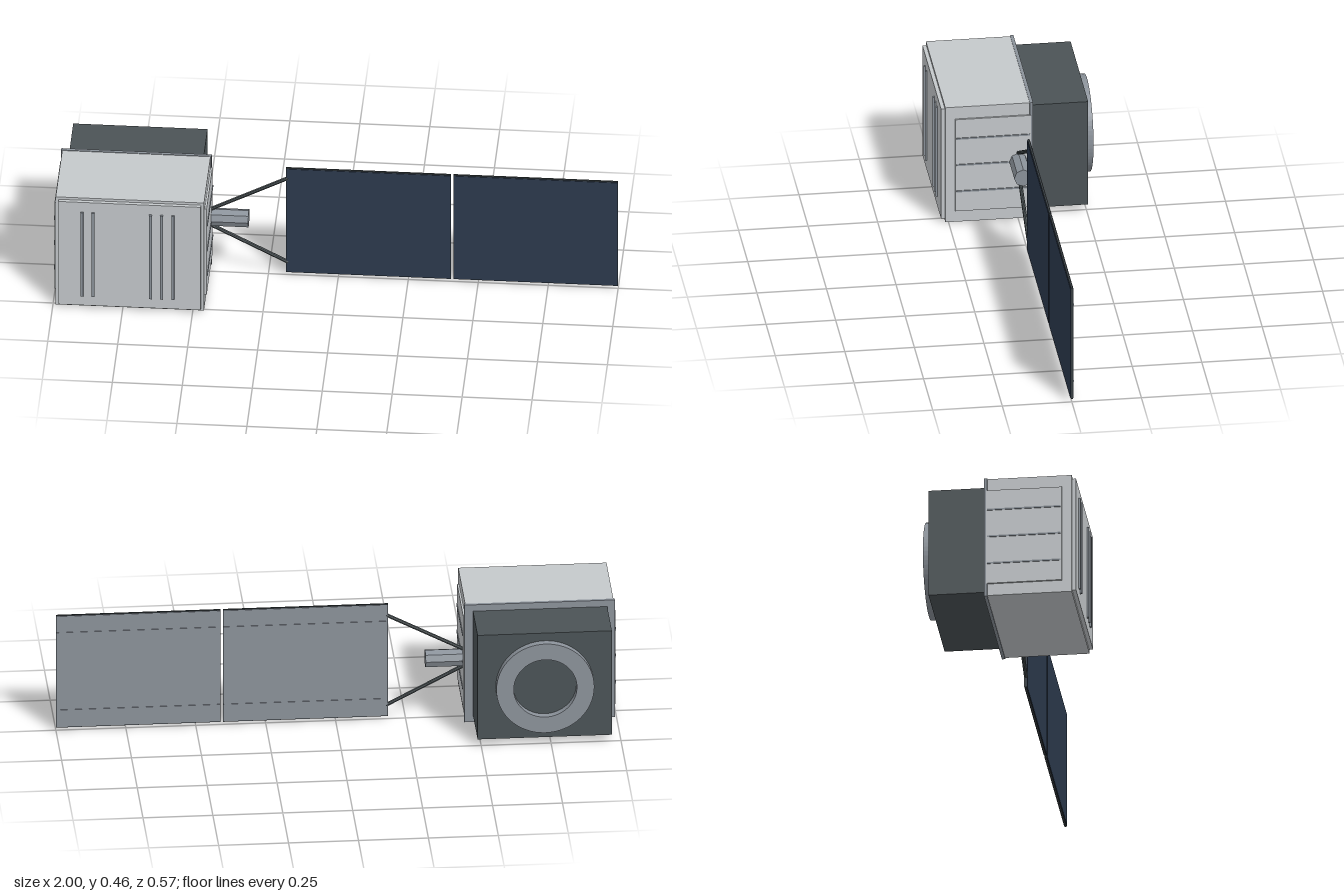
import * as THREE from 'three';

export function createModel() {
  const model = new THREE.Group();
  const mat = (name, color) => Object.assign(new THREE.MeshStandardMaterial({ color }), { name });
  const shell = mat('light grey shell', 0xc4c8cb);
  const trim = mat('mid grey trim', 0x8b929a);
  const dark = mat('dark grey', 0x4b5356);
  const frame = mat('dark frame', 0x363d41);
  const blue = mat('navy solar cells', 0x2c3a4e);

  const add = (name, geometry, material, parent = model) => {
    const mesh = new THREE.Mesh(geometry, material);
    mesh.name = name;
    parent.add(mesh);
    return mesh;
  };
  // Box given by its extents on each axis
  const box = (name, [x0, x1], [y0, y1], [z0, z1], material, parent) => {
    const mesh = add(name, new THREE.BoxGeometry(x1 - x0, y1 - y0, z1 - z0), material, parent);
    mesh.position.set((x0 + x1) / 2, (y0 + y1) / 2, (z0 + z1) / 2);
    return mesh;
  };
  // Round bar between two points
  const bar = (name, a, b, radius, sides, material) => {
    const dir = b.clone().sub(a);
    const geometry = new THREE.CylinderGeometry(radius, radius, dir.length(), sides);
    geometry.computeVertexNormals();
    const flat = geometry.toNonIndexed();
    flat.computeVertexNormals();
    const mesh = add(name, flat, material);
    mesh.position.copy(a).add(b).multiplyScalar(0.5);
    mesh.quaternion.setFromUnitVectors(new THREE.Vector3(0, 1, 0), dir.normalize());
    return mesh;
  };
  const v = (x, y, z = 0) => new THREE.Vector3(x, y, z);
  const cx = -0.725, cy = 0.232;

  // Main body, front plate and rear flange
  box('body', [-0.99, -0.46], [0.003, 0.46], [-0.045, 0.262], shell);
  box('frontPlate', [-0.979, -0.471], [0.013, 0.45], [0.262, 0.276], shell);
  box('rearFlange', [-0.994, -0.456], [0, 0.462], [-0.053, -0.041], trim);

  // Raised vertical ribs on the front
  for (const x of [-0.895, -0.855, -0.65, -0.61, -0.57])
    box('frontRib', [x - 0.005, x + 0.005], [0.055, 0.41], [0.274, 0.283], trim);

  // Mirrored side panels with horizontal ribs
  for (const s of [-1, 1]) {
    const span = (a, b) => [cx + s * a, cx + s * b].sort((p, q) => p - q);
    box('sidePanel', span(0.26, 0.272), [0.048, 0.413], [-0.045, 0.227], shell);
    for (const y of [0.127, 0.232, 0.337])
      box('sideRib', span(0.268, 0.275), [y - 0.003, y + 0.003], [-0.041, 0.222], trim);
  }

  // Rear equipment box with its open ring
  box('rearBox', [-0.967, -0.487], [0.027, 0.437], [-0.255, -0.05], dark);
  const ringShape = new THREE.Shape().absarc(0, 0, 0.175, 0, Math.PI * 2, false);
  ringShape.holes.push(new THREE.Path().absarc(0, 0, 0.113, 0, Math.PI * 2, true));
  const ring = add('rearRing', new THREE.ExtrudeGeometry(ringShape,
    { depth: 0.028, bevelEnabled: false, curveSegments: 32 }), trim);
  ring.position.set(-0.727, cy, -0.283);

  // Octagonal drive hub and the two struts that carry the array
  bar('driveHub', v(-0.462, cy), v(-0.32, cy), 0.033, 8, trim);
  for (const s of [-1, 1])
    bar('arrayStrut', v(-0.458, cy + s * 0.032), v(-0.18, cy + s * 0.178), 0.007, 8, dark);

  // Two solar panels: dark core, cells in front, grey back with two rails
  for (const [x0, x1] of [[-0.187, 0.403], [0.411, 1]]) {
    const panel = new THREE.Group();
    panel.name = 'solarPanel';
    model.add(panel);
    box('panelCore', [x0, x1], [0.012, 0.454], [-0.004, 0.003], frame, panel);
    box('solarCells', [x0 + 0.002, x1 - 0.002], [0.015, 0.451], [0.003, 0.005], blue, panel);
    box('panelBack', [x0 + 0.002, x1 - 0.002], [0.015, 0.451], [-0.006, -0.004], trim, panel);
    for (const y of [0.08, 0.385])
      box('backRail', [x0 + 0.002, x1 - 0.002], [y - 0.003, y + 0.003], [-0.008, -0.006], trim, panel);
  }
  return model;
}
